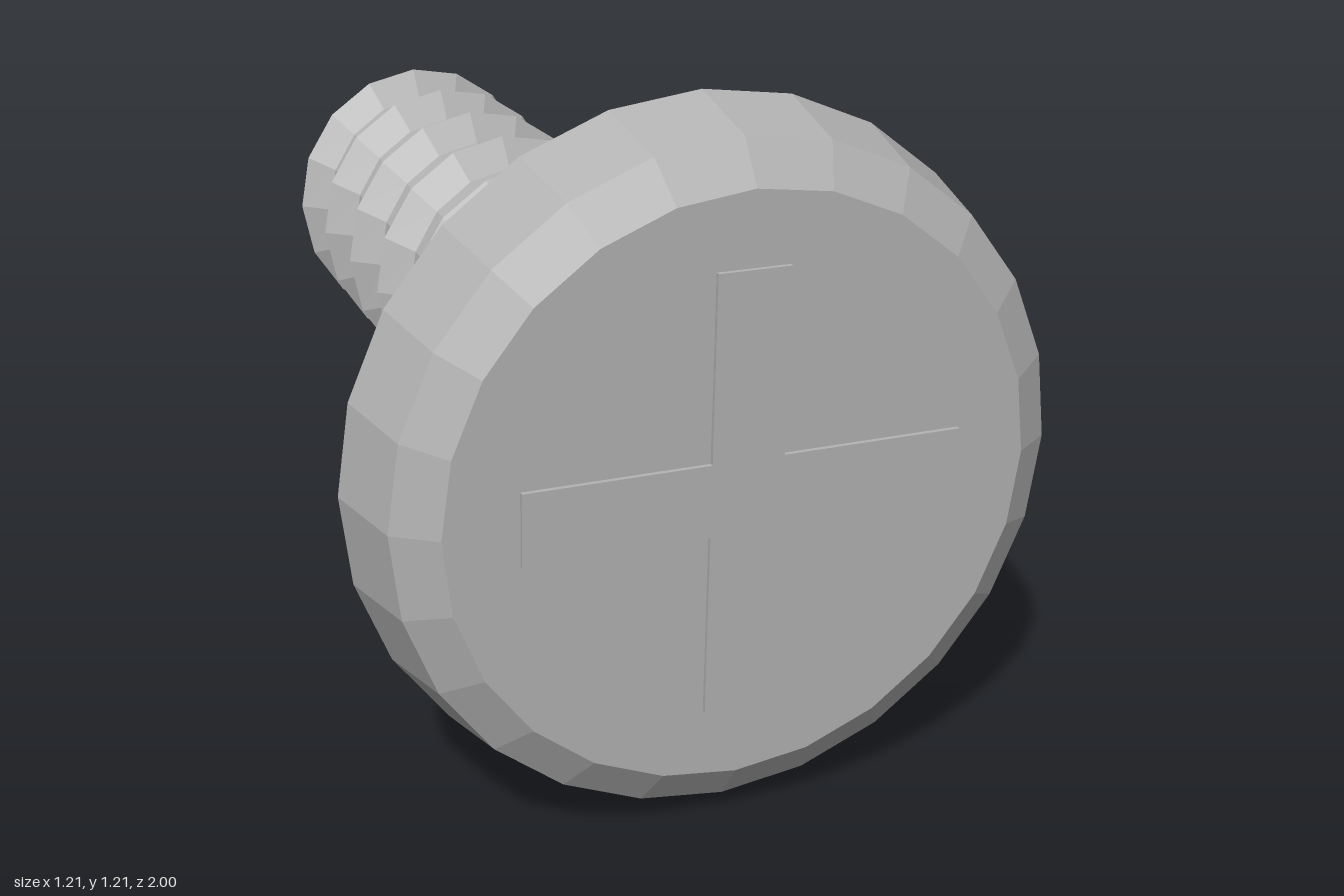
import * as THREE from 'three';

const AXIS_Y = 0.605; // height of the screw axis, which runs along z

// Turned part: profile of [radius, z] points, listed from back to front
function turned(profile, sides) {
  const points = profile.map(([r, z]) => new THREE.Vector2(r, z));
  return new THREE.LatheGeometry(points, sides).rotateX(Math.PI / 2);
}

// Triangular ridge wound around the shaft, closed at both ends
function helicalThread({ turns, sides, pitch, startZ, root, crest, halfWidth }) {
  const positions = [];
  const index = [];
  const steps = turns * sides;
  for (let i = 0; i <= steps; i++) {
    const angle = (i / sides) * Math.PI * 2;
    const z = startZ - (i / sides) * pitch;
    for (const [r, dz] of [[root, halfWidth], [crest, 0], [root, -halfWidth]]) {
      positions.push(r * Math.cos(angle), -r * Math.sin(angle), z + dz);
    }
    if (i === steps) break;
    for (let k = 0; k < 2; k++) {
      const a = i * 3 + k;
      index.push(a, a + 3, a + 1, a + 3, a + 4, a + 1);
    }
  }
  const last = steps * 3;
  index.push(0, 1, 2, last, last + 2, last + 1);
  const geometry = new THREE.BufferGeometry();
  geometry.setAttribute('position', new THREE.Float32BufferAttribute(positions, 3));
  geometry.setIndex(index);
  geometry.computeVertexNormals();
  return geometry;
}

// Plus-shaped outline with arms of the given length and half width
function crossShape(arm, half) {
  const corners = [];
  for (let q = 0; q < 4; q++) {
    const c = Math.round(Math.cos(q * Math.PI / 2));
    const s = Math.round(Math.sin(q * Math.PI / 2));
    for (const [x, y] of [[arm, -half], [arm, half], [half, half]]) {
      corners.push(new THREE.Vector2(x * c - y * s, x * s + y * c));
    }
  }
  return new THREE.Shape(corners);
}

export function createModel() {
  const steel = new THREE.MeshStandardMaterial({ color: 0xb3b3b3, flatShading: true });
  steel.name = 'grey steel';

  const screw = new THREE.Group();
  screw.name = 'screw';
  const add = (name, geometry) => {
    const mesh = new THREE.Mesh(geometry, steel);
    mesh.name = name;
    mesh.position.y = AXIS_Y;
    screw.add(mesh);
    return mesh;
  };

  // Bevelled pan head
  add('head', turned(
    [[0, 0.68], [0.5, 0.68], [0.605, 0.785], [0.57, 0.945], [0.5, 0.992], [0, 0.992]], 24));

  // Shaft with a blunt tapered tip
  add('shaft', turned([[0, -1], [0.122, -1], [0.23, -0.895], [0.23, 0.69]], 16));

  // Seven turns of thread
  add('thread', helicalThread({
    turns: 7, sides: 16, pitch: 0.21, startZ: 0.607, root: 0.23, crest: 0.285, halfWidth: 0.046,
  }));

  // Thin cross on the head face
  const cross = add('driveCross', new THREE.ExtrudeGeometry(
    crossShape(0.375, 0.062), { depth: 0.009, bevelEnabled: false }));
  cross.position.z = 0.991;

  return screw;
}
